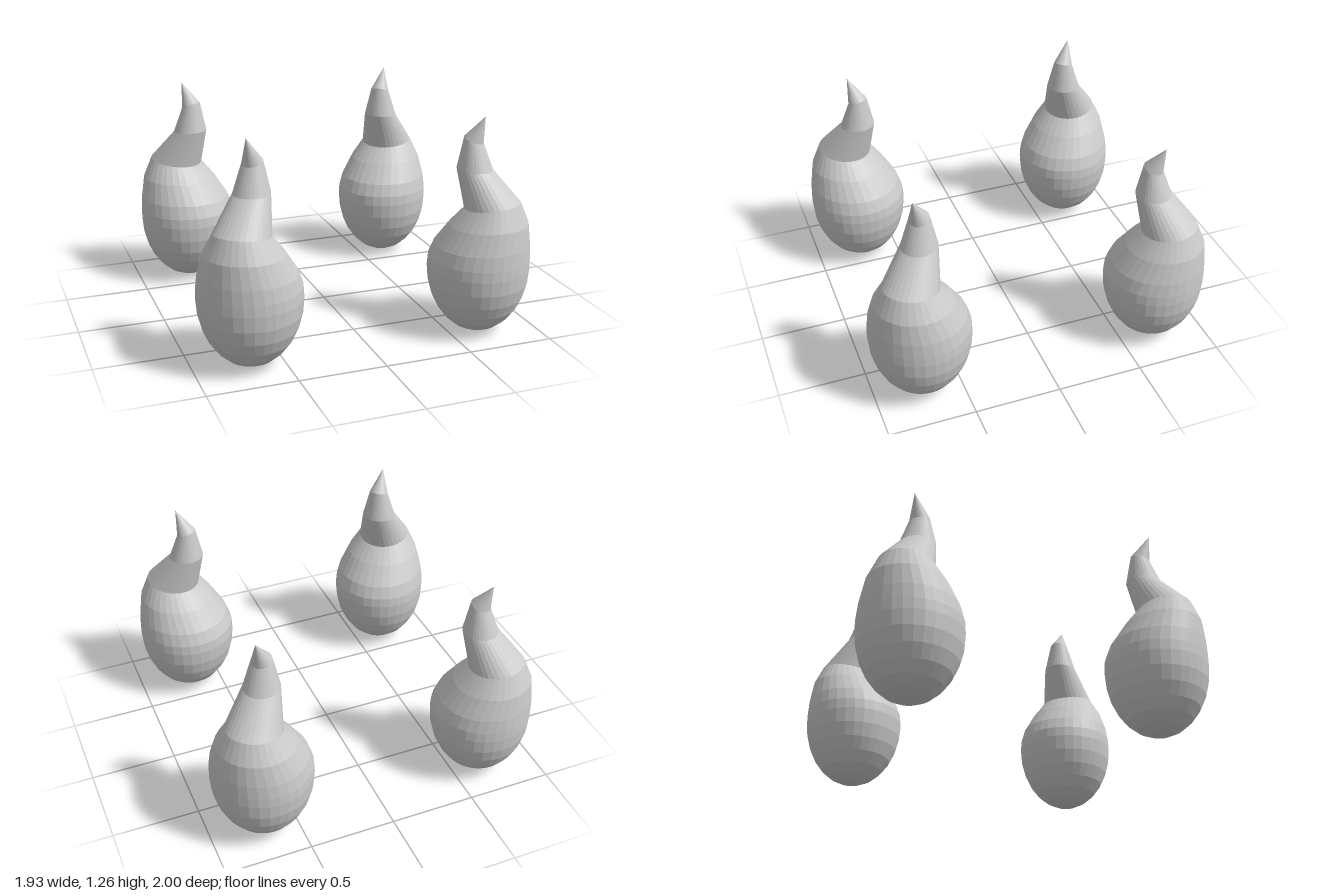
import * as THREE from 'three';

const SEGMENTS = 32;

// Cross-sections of one flame, bottom to top: [inner offset, inner y, outer offset, outer y].
// Offsets run along the direction in which the flame bends.
const rings = [];
for (let i = 0; i <= 7; i++) {
  const a = (i / 7) * Math.PI / 2;
  const r = 0.29 * Math.sin(a), y = 0.39 * (1 - Math.cos(a));
  rings.push([r, y, -r, y]);
}
rings.push(
  [0.285, 0.45, -0.29, 0.45],
  [0.255, 0.525, -0.287, 0.535],
  [0.171, 0.64, -0.274, 0.66],
  [0.087, 0.735, -0.225, 0.78],
  [0.143, 0.958, -0.06, 0.95],
  [0.108, 1.138, 0.0, 1.1],
  [-0.008, 1.257, -0.008, 1.257]
);

function flameGeometry() {
  const positions = [], index = [];
  for (const [xi, yi, xo, yo] of rings) {
    const cx = (xi + xo) / 2, cy = (yi + yo) / 2;
    const hx = (xi - xo) / 2, hy = (yi - yo) / 2;
    const r = Math.hypot(hx, hy);
    for (let j = 0; j < SEGMENTS; j++) {
      const t = (j / SEGMENTS) * Math.PI * 2;
      positions.push(cx + hx * Math.cos(t), cy + hy * Math.cos(t), r * Math.sin(t));
    }
  }
  const last = rings.length - 2;
  for (let i = 0; i <= last; i++) {
    for (let j = 0; j < SEGMENTS; j++) {
      const k = (j + 1) % SEGMENTS;
      const a = i * SEGMENTS + j, b = i * SEGMENTS + k;
      const c = a + SEGMENTS, d = b + SEGMENTS;
      if (i > 0) index.push(a, c, b);      // bottom point needs one triangle
      if (i < last) index.push(b, c, d);   // so does the tip
    }
  }
  const geometry = new THREE.BufferGeometry();
  geometry.setAttribute('position', new THREE.Float32BufferAttribute(positions, 3));
  geometry.setIndex(index);
  geometry.computeVertexNormals();
  return geometry;
}

export function createModel() {
  const model = new THREE.Group();
  model.name = 'flames';
  const geometry = flameGeometry();
  const material = new THREE.MeshStandardMaterial({ color: 0xcccccc, flatShading: true });

  // One flame per corner, each bending towards the middle
  for (const sx of [-1, 1]) {
    for (const sz of [-1, 1]) {
      const flame = new THREE.Mesh(geometry, material);
      flame.name = (sz > 0 ? 'front' : 'back') + (sx > 0 ? 'Left' : 'Right') + 'Flame';
      flame.position.set(sx * 0.675, 0, sz * 0.71);
      flame.rotation.y = Math.atan2(sz, -sx);
      model.add(flame);
    }
  }
  return model;
}
